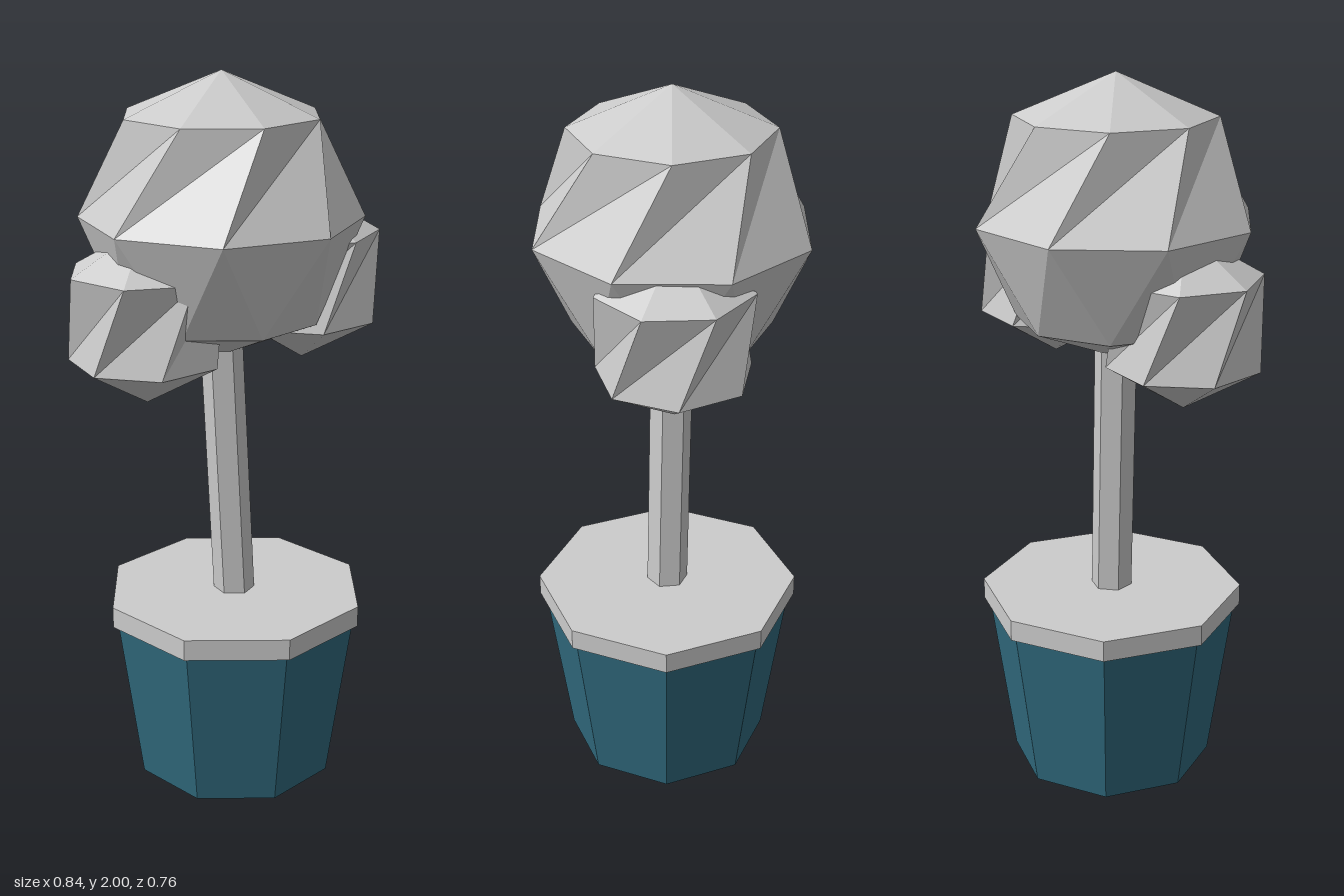
import * as THREE from 'three';

const grey = new THREE.MeshStandardMaterial({ color: 0xcccccc, flatShading: true });
const teal = new THREE.MeshStandardMaterial({ color: 0x316b7f, flatShading: true });

// Faceted ball whose odd rings are turned by half a segment
function twistedBall(radius, sides, rows) {
  const point = (row, k) => {
    const polar = (row / rows) * Math.PI;
    const turn = ((k + (row % 2) / 2) / sides) * Math.PI * 2;
    const r = radius * Math.sin(polar);
    return [-r * Math.cos(turn), radius * Math.cos(polar), r * Math.sin(turn)];
  };
  const positions = [];
  for (let row = 0; row < rows; row++) {
    for (let k = 0; k < sides; k++) {
      const a = point(row, k), b = point(row, k + 1);
      const c = point(row + 1, k), d = point(row + 1, k + 1);
      if (row < rows - 1) positions.push(...b, ...c, ...d);
      if (row > 0) positions.push(...a, ...c, ...b);
    }
  }
  const geometry = new THREE.BufferGeometry();
  geometry.setAttribute('position', new THREE.Float32BufferAttribute(positions, 3));
  geometry.computeVertexNormals();
  return geometry;
}

// Upright prism between two heights, with a side facing the front
function prism(top, bottom, y0, y1, sides) {
  return new THREE.CylinderGeometry(top, bottom, y1 - y0, sides)
    .rotateY(Math.PI / sides)
    .translate(0, (y0 + y1) / 2, 0);
}

export function createModel() {
  const model = new THREE.Group();
  const add = (name, geometry, material, x = 0, y = 0, z = 0) => {
    const mesh = new THREE.Mesh(geometry, material);
    mesh.name = name;
    mesh.position.set(x, y, z);
    model.add(mesh);
  };

  // Octagonal tapered pot and its rim
  add('pot', prism(0.355, 0.287, 0, 0.48, 8), teal, 0.025);
  add('rim', prism(0.371, 0.371, 0.48, 0.54, 8), grey, 0.025);

  // Six-sided trunk, sheared so it leans to the right
  const trunk = prism(0.058, 0.058, 0.5, 1.4, 6);
  const p = trunk.attributes.position;
  for (let i = 0; i < p.count; i++) p.setX(i, p.getX(i) - 0.048 * (p.getY(i) - 0.54));
  trunk.computeVertexNormals();
  add('trunk', trunk, grey, 0.023);

  // Foliage: main crown with two side clumps
  add('crown', twistedBall(0.382, 8, 4), grey, -0.012, 1.618, 0);
  add('leftClump', twistedBall(0.24, 7, 3), grey, 0.212, 1.44, -0.1);
  add('rightClump', twistedBall(0.24, 7, 3), grey, -0.212, 1.38, 0.12);

  return model;
}
